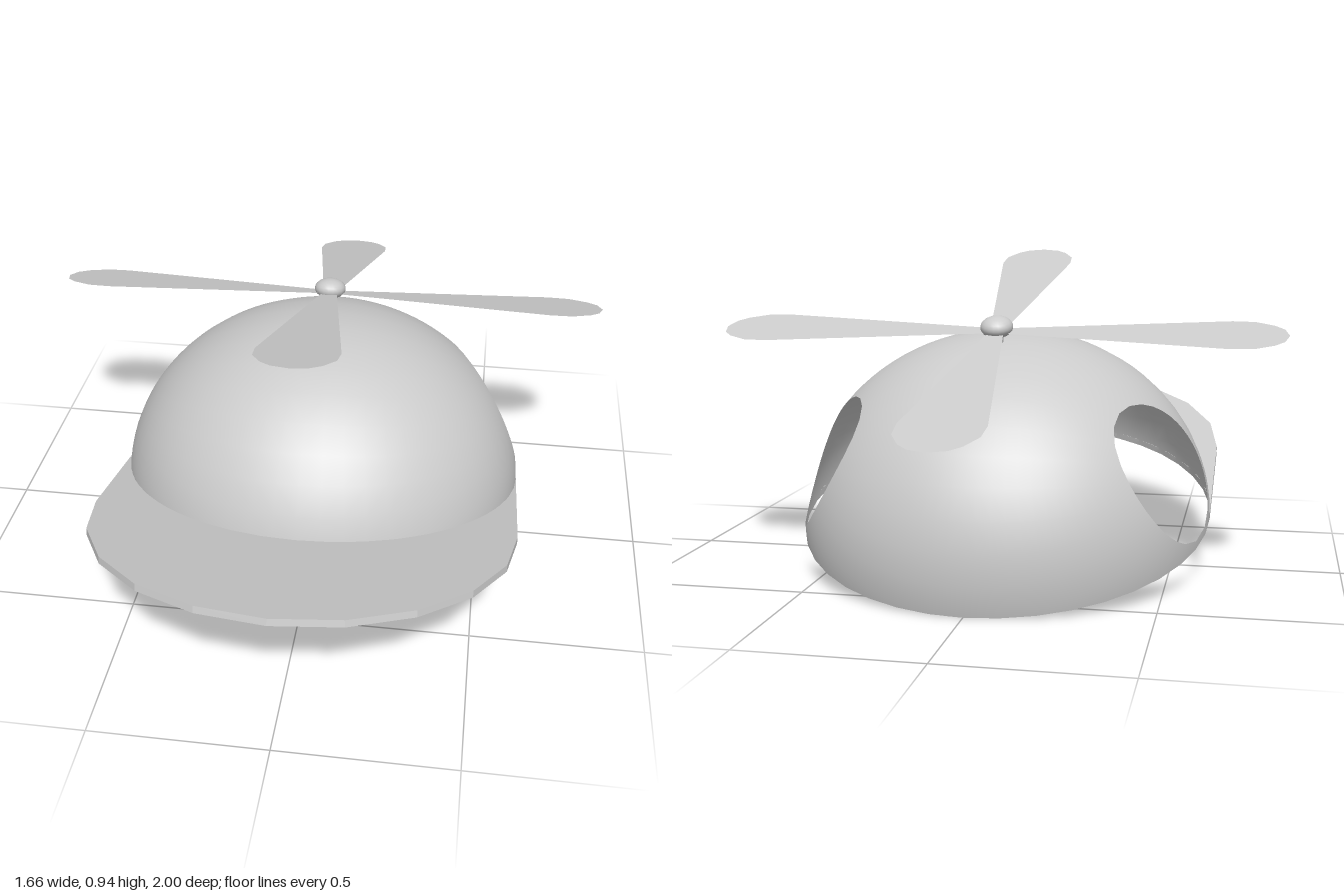
import * as THREE from 'three';

const R = 0.615;   // rim radius
const H = 0.55;    // crown height
const STEP = Math.PI / 20;

function mesh(name, geometry, doubleSided = false) {
  const material = new THREE.MeshStandardMaterial({
    color: 0xcccccc,
    side: doubleSided ? THREE.DoubleSide : THREE.FrontSide,
  });
  const m = new THREE.Mesh(geometry, material);
  m.name = name;
  return m;
}

// Half of the ellipsoid crown, lofted from a round ear hole out to the
// centre seam and the rim. sign = +1 is the left half, -1 the right half.
function crownHalf(sign) {
  const hole = { z: -0.149, y: 0.216, r: 0.195 };
  const outline = [];
  for (let k = 0; k <= 20; k++) outline.push([R * Math.cos(k * STEP), H * Math.sin(k * STEP)]);
  for (let k = 1; k < 20; k++) outline.push([-R * Math.cos(k * STEP), 0]);

  const rows = 14, n = outline.length;
  const positions = [], normals = [], index = [];
  for (let j = 0; j <= rows; j++) {
    const t = Math.sin((j / rows) * Math.PI / 2);
    for (const [bz, by] of outline) {
      const dz = bz - hole.z, dy = by - hole.y, d = Math.hypot(dz, dy);
      const reach = hole.r + (d - hole.r) * t;
      const z = hole.z + dz / d * reach, y = hole.y + dy / d * reach;
      const x = sign * R * Math.sqrt(Math.max(0, 1 - (z / R) ** 2 - (y / H) ** 2));
      positions.push(x, y, z);
      const nrm = new THREE.Vector3(x / R ** 2, y / H ** 2, z / R ** 2).normalize();
      normals.push(nrm.x, nrm.y, nrm.z);
    }
  }
  for (let j = 0; j < rows; j++) {
    for (let i = 0; i < n; i++) {
      const i2 = (i + 1) % n;
      const a = j * n + i, b = a + n, c = j * n + i2, d = c + n;
      if (sign < 0) index.push(a, b, c, c, b, d);
      else index.push(a, c, b, c, d, b);
    }
  }
  const g = new THREE.BufferGeometry();
  g.setAttribute('position', new THREE.Float32BufferAttribute(positions, 3));
  g.setAttribute('normal', new THREE.Float32BufferAttribute(normals, 3));
  g.setIndex(index);
  return g;
}

// Flat brim: the rim circle pushed forward, minus the rim itself
function brimGeometry() {
  const forward = 0.465, thickness = 0.02;
  const pts = [new THREE.Vector2(R, 0)];
  for (let k = 0; k <= 10; k++) {
    const a = k * STEP * 2;
    pts.push(new THREE.Vector2(R * Math.cos(a), forward + R * Math.sin(a)));
  }
  for (let k = 20; k > 0; k--) {
    pts.push(new THREE.Vector2(R * Math.cos(k * STEP), R * Math.sin(k * STEP)));
  }
  const g = new THREE.ExtrudeGeometry(new THREE.Shape(pts), { depth: thickness, bevelEnabled: false });
  return g.rotateX(Math.PI / 2).translate(0, thickness, 0);
}

// Paper-thin blade, widening toward a rounded tip
function bladeGeometry() {
  const half = [[0, 0.02], [0.67, 0.114], [0.735, 0.11], [0.79, 0.08], [0.817, 0.05], [0.83, 0]];
  const pts = half.map(([r, w]) => new THREE.Vector2(r, -w));
  for (const [r, w] of half.slice(0, -1).reverse()) pts.push(new THREE.Vector2(r, w));
  return new THREE.ShapeGeometry(new THREE.Shape(pts)).rotateX(-Math.PI / 2);
}

export function createModel() {
  const model = new THREE.Group();
  model.name = 'propellerCap';

  // Everything is built level, then tipped back
  const cap = new THREE.Group();
  cap.name = 'cap';
  cap.position.set(0, 0.16, -0.045);
  cap.rotation.x = -THREE.MathUtils.degToRad(15);
  model.add(cap);

  cap.add(mesh('crownLeft', crownHalf(1), true));
  cap.add(mesh('crownRight', crownHalf(-1), true));
  cap.add(mesh('brim', brimGeometry(), true));

  // Propeller on its pin
  const propeller = new THREE.Group();
  propeller.name = 'propeller';
  propeller.position.y = 0.583;
  cap.add(propeller);

  const pin = mesh('pin', new THREE.CylinderGeometry(0.018, 0.018, 0.06, 12));
  pin.position.y = -0.02;
  const knob = mesh('knob', new THREE.SphereGeometry(0.048, 20, 12));
  knob.scale.y = 0.65;
  knob.position.y = 0.012;
  propeller.add(pin, knob);

  const blade = bladeGeometry();
  for (let i = 0; i < 4; i++) {
    const b = mesh('blade' + (i + 1), blade, true);
    b.rotation.y = i * Math.PI / 2;
    propeller.add(b);
  }
  return model;
}
